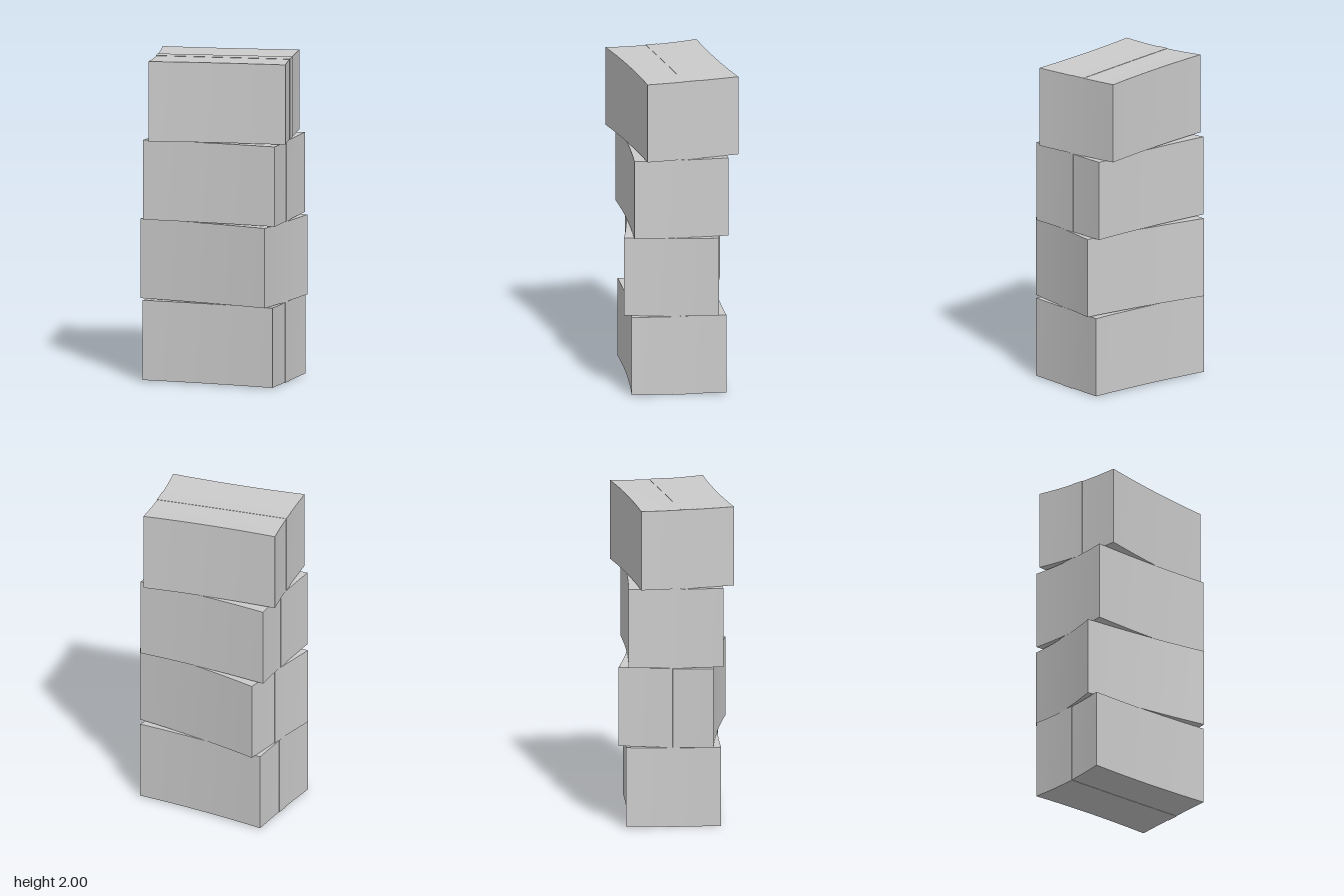
import * as THREE from 'three';

const W = 0.848, H = 0.495, D = 0.582;
const material = new THREE.MeshStandardMaterial({ color: 0xcccccc });

// Soft cardboard: walls pinch inwards at mid-length, lid and base sag slightly
function soften(geometry) {
  const p = geometry.attributes.position;
  for (let i = 0; i < p.count; i++) {
    const x = p.getX(i), y = p.getY(i), z = p.getZ(i);
    const u = Math.max(0, 1 - (2 * x / W) ** 2);
    const v = Math.max(0, 1 - (2 * z / D) ** 2);
    p.setXYZ(i, x - (2 * x / W) * 0.011 * v, y - 0.006 * v, z - (2 * z / D) * 0.013 * u);
  }
  geometry.computeVertexNormals();
  return geometry;
}

function createBox(tapeLeft, tapeRight) {
  const box = new THREE.Group();
  const carton = new THREE.Mesh(soften(new THREE.BoxGeometry(W, H, D, 8, 1, 8)), material);
  carton.name = 'carton';

  // Tape band around the middle, slightly uneven in width
  const band = new THREE.BoxGeometry(W + 0.004, H + 0.004, 1, 8, 1, 2);
  const p = band.attributes.position;
  for (let i = 0; i < p.count; i++) {
    const t = p.getX(i) / W + 0.5;
    p.setZ(i, p.getZ(i) * THREE.MathUtils.lerp(tapeRight, tapeLeft, t));
  }
  const tape = new THREE.Mesh(soften(band), material);
  tape.name = 'tape';
  box.add(carton, tape);
  return box;
}

export function createModel() {
  const stack = new THREE.Group();
  stack.name = 'boxStack';
  // Turn of each box and tape widths at its two ends, from the bottom up
  const layers = [
    [0, 0.08, 0.08],
    [-0.107, 0.1, 0.08],
    [0.036, 0.08, 0.08],
    [0.206, 0.1, 0.075],
  ];
  layers.forEach(([turn, left, right], i) => {
    const box = createBox(left, right);
    box.name = `box${i + 1}`;
    box.position.y = 0.008 + H / 2 + i * 0.499;
    box.rotation.y = turn;
    stack.add(box);
  });
  return stack;
}
